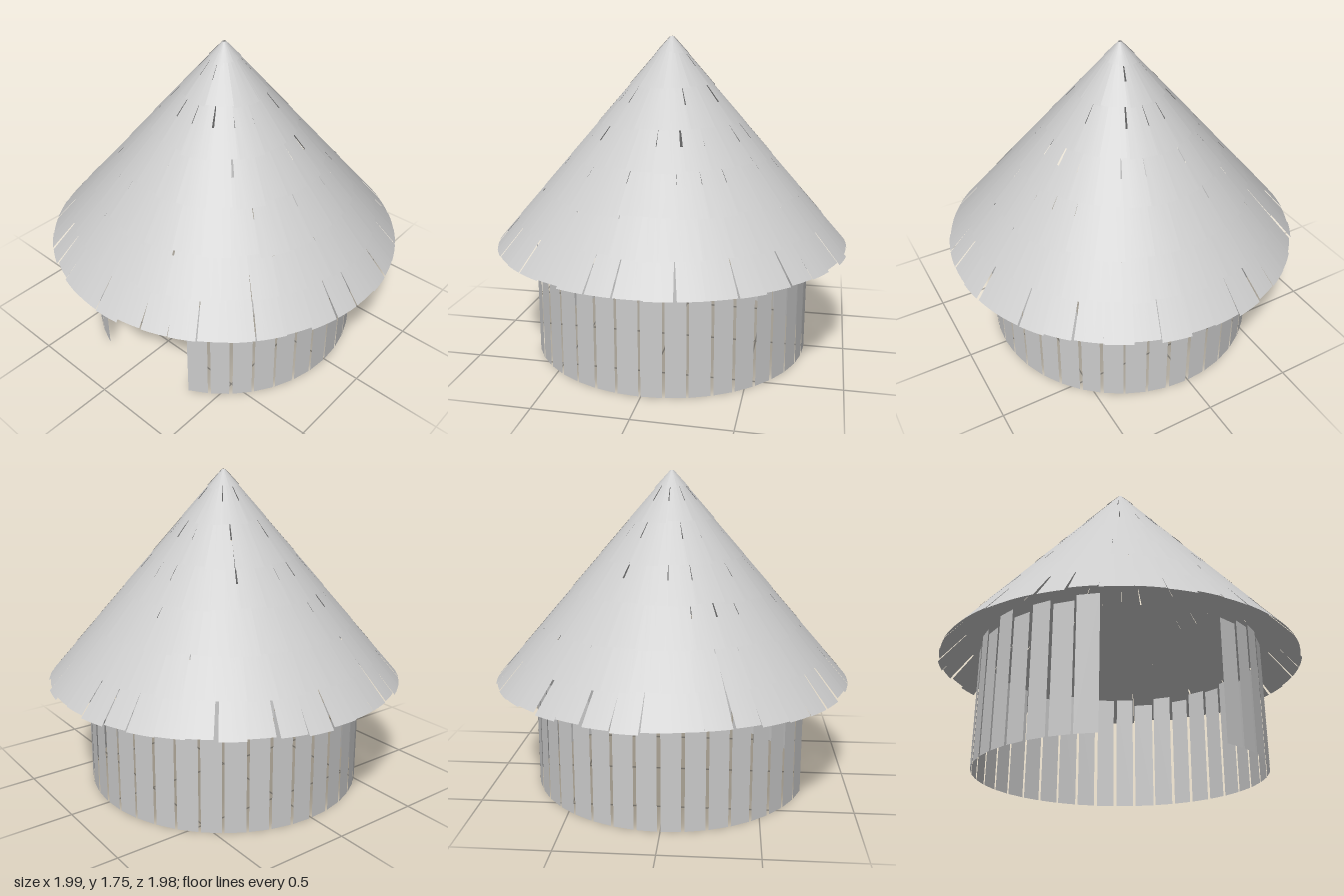
import * as THREE from 'three';

const APEX = 1.76, EAVE = 0.595, EAVE_R = 0.992;
const coneRadius = (y) => EAVE_R * (APEX - y) / (APEX - EAVE);

// small seeded generator for hand-cut irregularity
function seeded(seed) {
  return () => {
    seed = (seed * 16807) % 2147483647;
    return seed / 2147483647;
  };
}

// one ring of thin tapering shingles lying on the roof cone
function shingleRow(bottom, top, count, rand) {
  const pos = [], index = [], SEG = 3;
  const pitch = Math.PI * 2 / count, start = rand() * pitch;
  for (let i = 0; i < count; i++) {
    const mid = start + (i + (rand() - 0.5) * 0.12) * pitch;
    const halfLow = pitch * (0.44 + rand() * 0.1);
    const halfHigh = pitch * (0.5 + rand() * 0.07);
    const lean = (rand() - 0.5) * 0.1 * pitch;
    const lift = 0.002 * (i % 2) + 0.001 * rand();
    const yLow = bottom + rand() * 0.018;
    const first = pos.length / 3;
    for (let s = 0; s <= SEG; s++) {
      const t = s / SEG * 2 - 1;
      const aLow = mid + t * halfLow, aHigh = mid + lean + t * halfHigh;
      const rLow = coneRadius(yLow) + 0.006 + lift, rHigh = coneRadius(top) + lift;
      pos.push(Math.sin(aLow) * rLow, yLow, Math.cos(aLow) * rLow);
      pos.push(Math.sin(aHigh) * rHigh, top, Math.cos(aHigh) * rHigh);
    }
    for (let s = 0; s < SEG; s++) {
      const a = first + s * 2;
      index.push(a, a + 2, a + 1, a + 1, a + 2, a + 3);
    }
  }
  const g = new THREE.BufferGeometry();
  g.setAttribute('position', new THREE.Float32BufferAttribute(pos, 3));
  g.setIndex(index);
  g.computeVertexNormals();
  return g;
}

export function createModel() {
  const hut = new THREE.Group();
  hut.name = 'hut';
  const rand = seeded(4217);
  const wood = new THREE.MeshStandardMaterial({ color: 0xcccccc, side: THREE.DoubleSide });
  wood.name = 'pale grey wood';

  // round wall of upright planks, leaving a five-plank doorway at the front
  const wall = new THREE.Group();
  wall.name = 'wall';
  const PLANKS = 40, DOOR = 5, WALL_R = 0.775;
  for (let k = 0; k < PLANKS - DOOR; k++) {
    const angle = THREE.MathUtils.degToRad(31 + k * 360 / PLANKS);
    const height = 0.63 + rand() * 0.07;
    const plank = new THREE.Mesh(new THREE.PlaneGeometry(0.1 + rand() * 0.014, height), wood);
    plank.name = 'wallPlank';
    plank.position.set(Math.sin(angle) * WALL_R, height / 2, Math.cos(angle) * WALL_R);
    plank.rotation.y = angle;
    wall.add(plank);
  }
  hut.add(wall);

  // conical roof of overlapping shingle rows
  const roof = new THREE.Group();
  roof.name = 'roof';
  const rows = [EAVE, 0.745, 0.91, 1.1, 1.285, 1.48, 1.655];
  rows.forEach((bottom, i) => {
    const top = Math.min(bottom + 0.31, APEX - 0.008);
    const count = Math.max(10, Math.round(2 * Math.PI * coneRadius(bottom) / 0.15));
    const row = new THREE.Mesh(shingleRow(bottom, top, count, rand), wood);
    row.name = 'shingleRow' + (i + 1);
    roof.add(row);
  });
  hut.add(roof);
  return hut;
}
